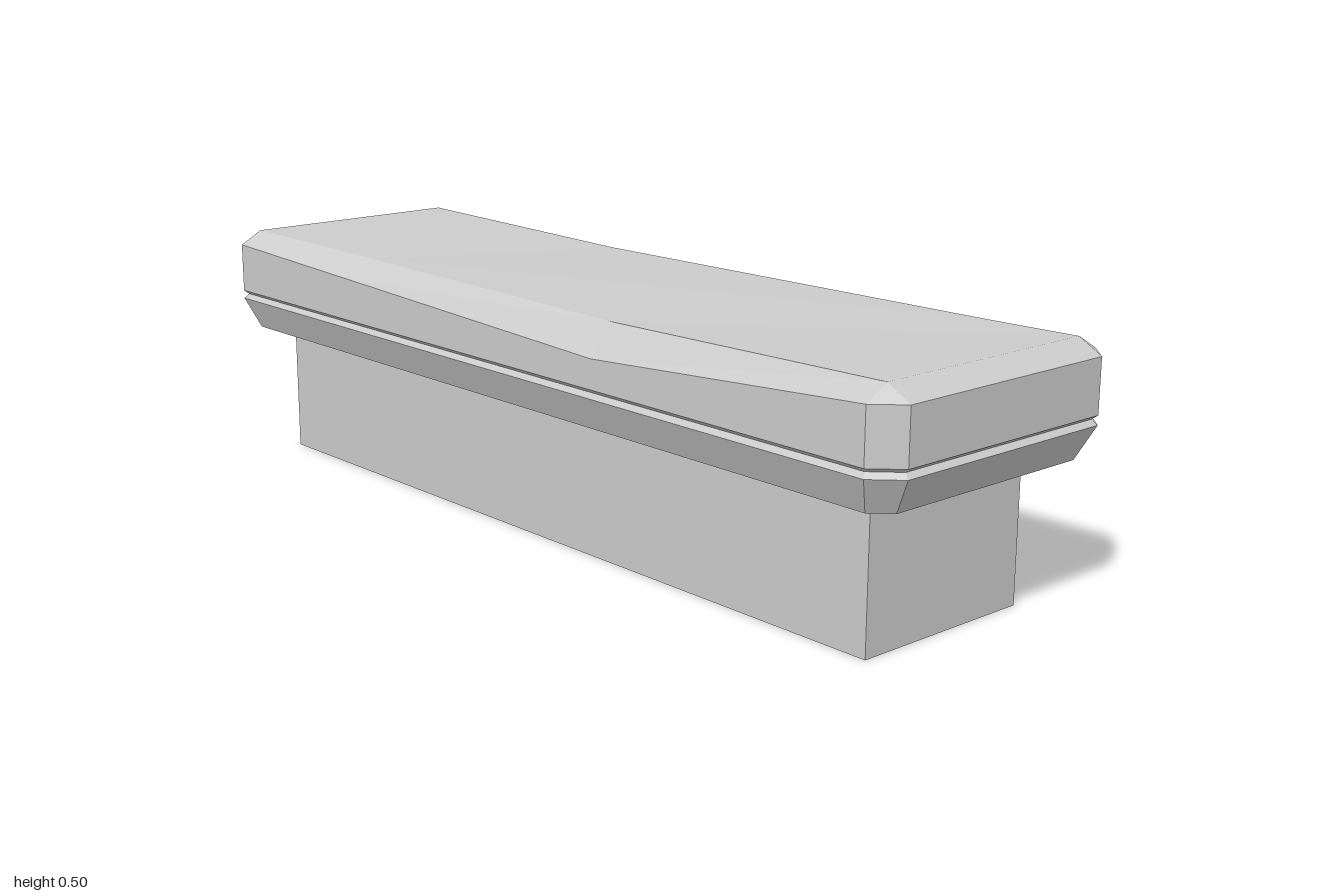
import * as THREE from 'three';

// Chamfered rectangle: 8 corners plus two extra columns on the long front and back edges
function ring(hx, hz, y, cx, cz = cx) {
  const x = hx - cx, z = hz - cz;
  return [
    [-x, y, hz], [-0.53, y, hz], [0.28, y, hz], [x, y, hz],
    [hx, y, z], [hx, y, -z],
    [x, y, -hz], [0.75, y, -hz], [-0.3, y, -hz], [-x, y, -hz],
    [-hx, y, -z], [-hx, y, z],
  ];
}

// Joins stacked rings into a closed solid
function loft(rings) {
  const pos = [];
  const same = (a, b) => a.every((v, i) => Math.abs(v - b[i]) < 1e-6);
  const tri = (a, b, c) => {
    if (!same(a, b) && !same(b, c) && !same(a, c)) pos.push(...a, ...b, ...c);
  };
  const quad = (a, b, c, d) => { tri(a, b, c); tri(a, c, d); };
  for (let r = 0; r < rings.length - 1; r++) {
    const lo = rings[r], hi = rings[r + 1], n = lo.length;
    for (let i = 0; i < n; i++) {
      const j = (i + 1) % n;
      quad(lo[i], lo[j], hi[j], hi[i]);
    }
  }
  // Cap strips running from front to back
  const bottom = rings[0], top = rings[rings.length - 1];
  for (const [a, b, c, d] of [[11, 0, 9, 10], [0, 1, 8, 9], [1, 2, 7, 8], [2, 3, 6, 7], [3, 4, 5, 6]]) {
    quad(top[a], top[b], top[c], top[d]);
    quad(bottom[d], bottom[c], bottom[b], bottom[a]);
  }
  const g = new THREE.BufferGeometry();
  g.setAttribute('position', new THREE.Float32BufferAttribute(pos, 3));
  g.computeVertexNormals();
  return g;
}

export function createModel() {
  const group = new THREE.Group();
  const stone = new THREE.MeshStandardMaterial({ color: 0xcccccc });
  stone.name = 'light grey stone';
  const add = (name, geometry) => {
    const mesh = new THREE.Mesh(geometry, stone);
    mesh.name = name;
    group.add(mesh);
    return mesh;
  };

  // Plain rectangular plinth
  add('base', new THREE.BoxGeometry(1.77, 0.286, 0.402)).position.set(0, 0.143, 0.008);

  // Worn upper edge of the slab: sags at the front, bulges a little at the back
  const shoulder = ring(1, 0.302, 0.477, 0.05);
  shoulder[1] = [-0.53, 0.461, 0.302];
  shoulder[2] = [0.28, 0.43, 0.302];
  shoulder[7] = [0.75, 0.468, -0.305];
  shoulder[8] = [-0.3, 0.455, -0.305];

  // Slightly dished top face
  const top = ring(0.95, 0.252, 0.505, 0);
  top[1] = [-0.53, 0.495, 0.232];
  top[2] = [0.28, 0.492, 0.25];
  top[7] = [0.75, 0.502, -0.252];
  top[8] = [-0.3, 0.494, -0.252];

  // Flared rim, narrow groove and top slab
  add('slab', loft([
    ring(0.965, 0.272, 0.285, 0.036),
    ring(1, 0.302, 0.353, 0.05),
    ring(0.99, 0.293, 0.363, 0.046),
    ring(1, 0.302, 0.371, 0.05),
    shoulder,
    top,
  ]));
  return group;
}
